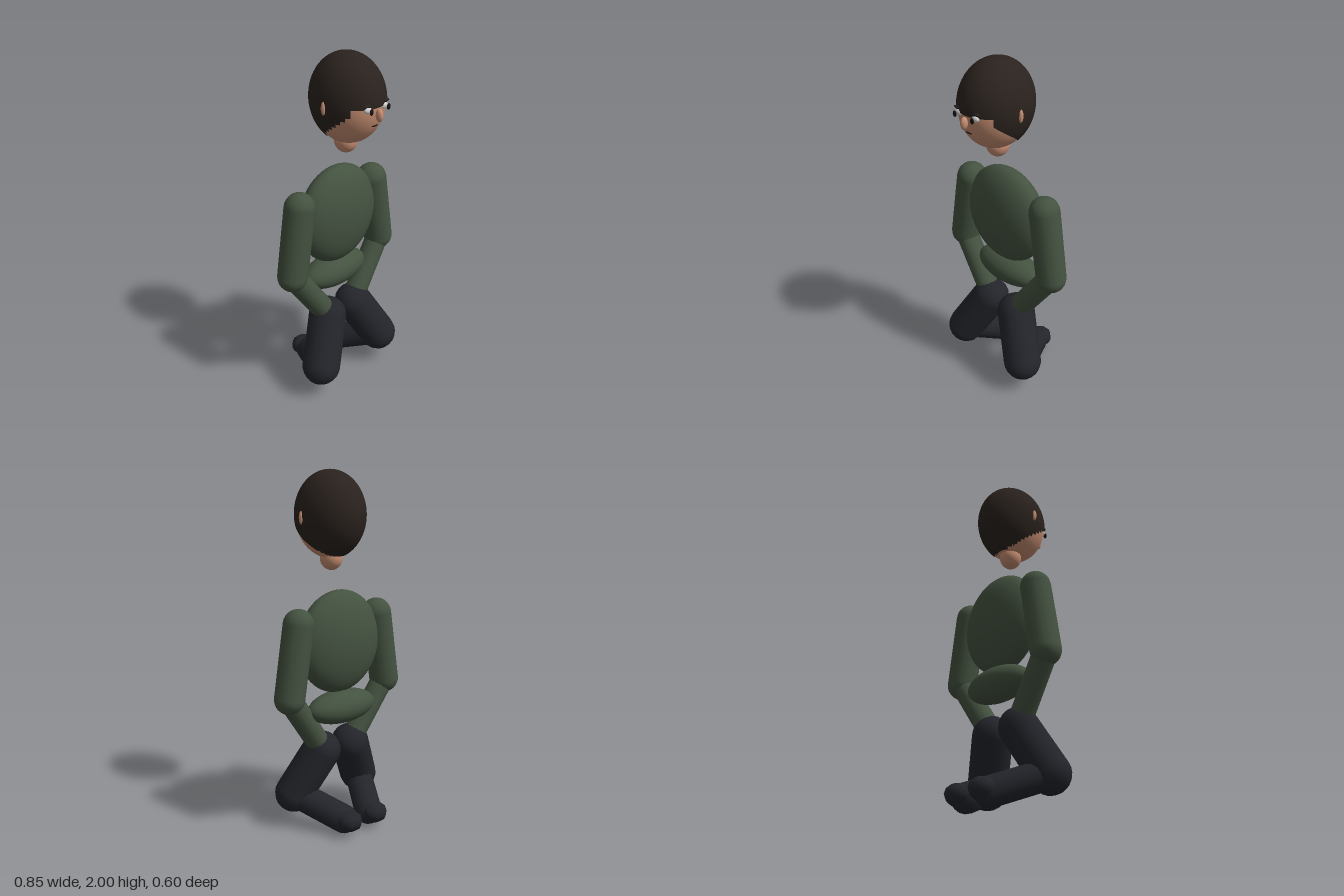
import * as THREE from 'three';

const mat = (color) => new THREE.MeshStandardMaterial({ color });

export function createModel() {
  const model = new THREE.Group();
  const skin = mat(0xc68e72), hair = mat(0x2a221e), shirt = mat(0x445240);
  const trousers = mat(0x23252b), white = mat(0xe8e8e8), dark = mat(0x17130f);

  const add = (name, geometry, material) => {
    const mesh = new THREE.Mesh(geometry, material);
    mesh.name = name;
    model.add(mesh);
    return mesh;
  };

  // Ellipsoid from a centre and three radii
  const ellipsoid = (name, material, centre, radii, w = 32, h = 24) => {
    const mesh = add(name, new THREE.SphereGeometry(1, w, h), material);
    mesh.position.set(...centre);
    mesh.scale.set(...radii);
    return mesh;
  };

  // Round-ended limb between two joints
  const limb = (name, material, from, to, radius) => {
    const a = new THREE.Vector3(...from), b = new THREE.Vector3(...to);
    const dir = b.clone().sub(a);
    const mesh = add(name, new THREE.CapsuleGeometry(radius, dir.length(), 6, 16), material);
    mesh.position.copy(a).add(b).multiplyScalar(0.5);
    mesh.quaternion.setFromUnitVectors(new THREE.Vector3(0, 1, 0), dir.normalize());
    return mesh;
  };

  // Head and neck
  ellipsoid('head', skin, [0, 1.76, 0.055], [0.18, 0.235, 0.21], 48, 32);
  ellipsoid('neck', skin, [0, 1.53, 0.045], [0.062, 0.07, 0.065]);
  ellipsoid('nose', skin, [0, 1.722, 0.278], [0.017, 0.034, 0.021], 16, 12);
  ellipsoid('mouth', dark, [0, 1.66, 0.248], [0.023, 0.003, 0.006], 12, 8);

  // Hair: a shell over the head, cut away from the face with a ragged edge
  const shell = new THREE.SphereGeometry(1, 48, 36);
  shell.scale(0.185, 0.24, 0.215);
  shell.translate(0, 1.76, 0.055);
  const pos = shell.attributes.position, index = shell.index.array, kept = [];
  for (let i = 0; i < index.length; i += 3) {
    const tri = [index[i], index[i + 1], index[i + 2]];
    const y = tri.reduce((s, k) => s + pos.getY(k), 0) / 3;
    const z = tri.reduce((s, k) => s + pos.getZ(k), 0) / 3;
    if (y > 1.763 || z < Math.min(0.2, -0.02 + 1.34 * (y - 1.55))) kept.push(...tri);
  }
  shell.setIndex(kept);
  const hairMaterial = hair.clone();
  hairMaterial.side = THREE.DoubleSide;
  add('hair', shell, hairMaterial);

  // Torso
  ellipsoid('chest', shirt, [0, 1.07, -0.022], [0.27, 0.29, 0.124], 40, 28);
  ellipsoid('hips', shirt, [0, 0.7, -0.045], [0.225, 0.095, 0.108]);

  // Mirrored parts
  for (const [side, s] of [['left', 1], ['right', -1]]) {
    const n = (part) => side + part;
    ellipsoid(n('Ear'), skin, [s * 0.183, 1.75, 0.07], [0.012, 0.035, 0.013], 16, 12);
    ellipsoid(n('Eye'), white, [s * 0.056, 1.756, 0.255], [0.025, 0.016, 0.014], 16, 12);
    ellipsoid(n('Pupil'), dark, [s * 0.061, 1.755, 0.282], [0.012, 0.017, 0.006], 12, 10);
    ellipsoid(n('Eyebrow'), hair, [s * 0.066, 1.78, 0.256], [0.026, 0.008, 0.009], 12, 8);

    limb(n('UpperArm'), shirt, [s * 0.275, 1.2, -0.022], [s * 0.34, 0.8, -0.022], 0.085);
    limb(n('Forearm'), shirt, [s * 0.34, 0.8, -0.02], [s * 0.12, 0.48, 0], 0.066);

    limb(n('Thigh'), trousers, [s * 0.105, 0.445, 0.005], [s * 0.24, 0.19, 0.09], 0.11);
    limb(n('Shin'), trousers, [s * 0.24, 0.19, 0.09], [s * 0.09, 0.082, -0.18], 0.08);
    const foot = ellipsoid(n('Foot'), trousers, [s * 0.092, 0.09, -0.228], [0.075, 0.06, 0.078], 8, 6);
    foot.rotation.y = Math.PI / 8;
  }
  return model;
}
